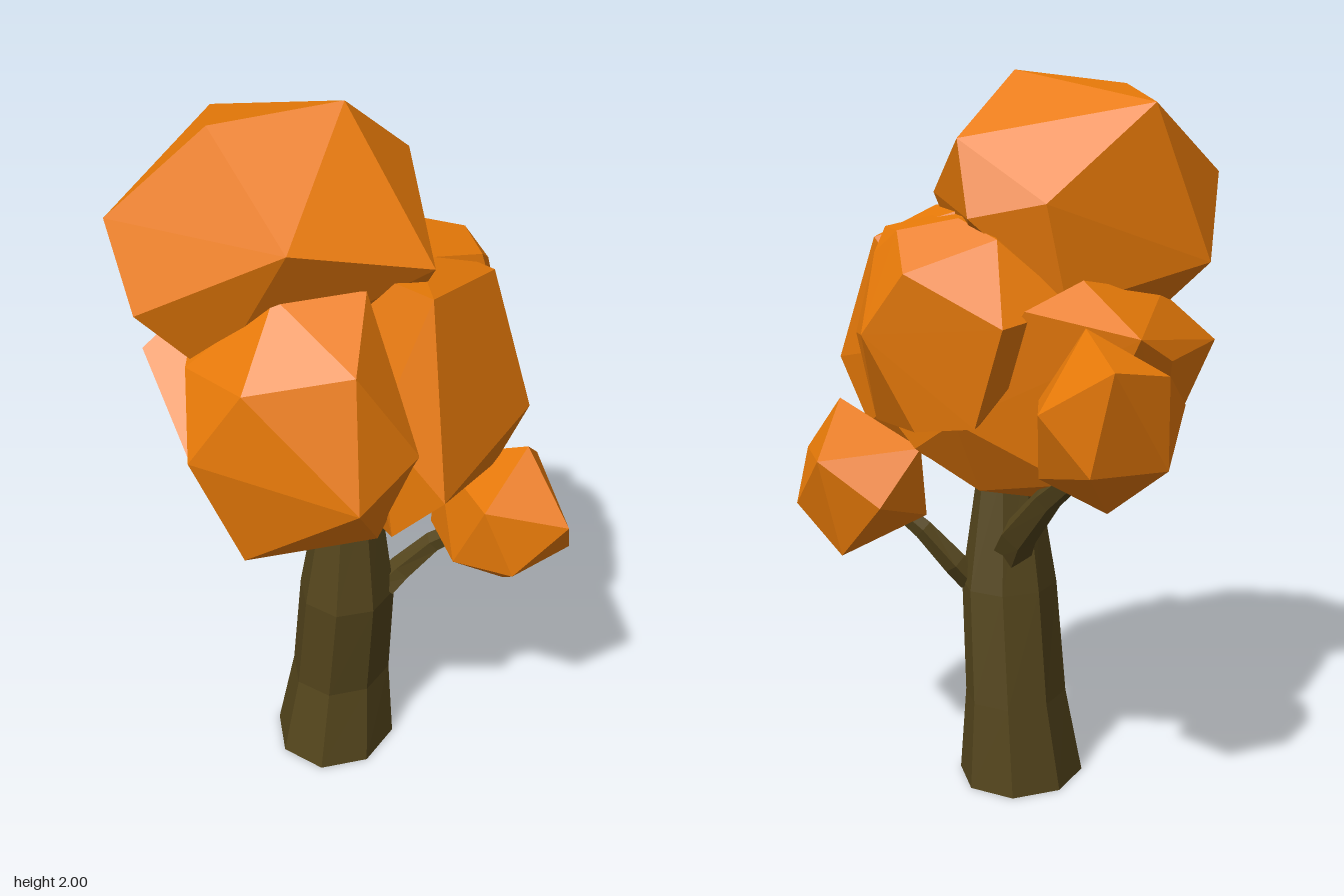
import * as THREE from 'three';
import { ConvexGeometry } from 'three/addons/geometries/ConvexGeometry.js';

const leaf = new THREE.MeshStandardMaterial({ color: 0xe87a08, flatShading: true });
const bark = new THREE.MeshStandardMaterial({ color: 0x54451c, flatShading: true });

// Faceted leaf clump: hull around a handful of corner points
function clump(name, corners) {
  const mesh = new THREE.Mesh(new ConvexGeometry(corners.map(c => new THREE.Vector3(...c))), leaf);
  mesh.name = name;
  return mesh;
}

// Tapered faceted limb through rings of [x, y, z, radiusX, radiusZ].
// Level rings are slightly skewed ovals; the others stand square to the path.
function limb(name, rings, sides, level) {
  const g = new THREE.CylinderGeometry(1, 1, 1, sides, rings.length - 1);
  const p = g.attributes.position;
  const centres = rings.map(r => new THREE.Vector3(r[0], r[1], r[2]));
  const up = new THREE.Vector3(0, 1, 0);
  for (let i = 0; i < p.count; i++) {
    const k = Math.round((p.getY(i) + 0.5) * (rings.length - 1));
    const [, , , rx, rz] = rings[k];
    const v = new THREE.Vector3(p.getX(i) * rx, 0, p.getZ(i) * rz);
    if (level) {
      v.set(v.x - 0.06 * v.z, 0, v.z - 0.06 * v.x);
    } else {
      const dir = centres[Math.min(k + 1, rings.length - 1)].clone().sub(centres[Math.max(k - 1, 0)]).normalize();
      v.applyQuaternion(new THREE.Quaternion().setFromUnitVectors(up, dir));
    }
    v.add(centres[k]);
    p.setXYZ(i, v.x, v.y, v.z);
  }
  g.computeVertexNormals();
  const mesh = new THREE.Mesh(g, bark);
  mesh.name = name;
  return mesh;
}

export function createModel() {
  const tree = new THREE.Group();
  tree.name = 'tree';

  // Trunk and branches
  tree.add(limb('trunk', [
    [0.025, 0, 0.065, 0.195, 0.185],
    [0.04, 0.25, 0.07, 0.16, 0.148],
    [0.03, 0.57, 0.11, 0.148, 0.143],
    [0.03, 0.92, 0.115, 0.09, 0.085],
    [0.03, 1.12, 0.115, 0.07, 0.07],
  ], 8, true));
  tree.add(limb('frontBranch', [
    [0.115, 0.58, 0.18, 0.042, 0.042],
    [0.16, 0.63, 0.195, 0.038, 0.038],
    [0.23, 0.73, 0.25, 0.03, 0.03],
    [0.33, 0.86, 0.38, 0.02, 0.02],
  ], 5, false));
  tree.add(limb('backBranch', [
    [0.07, 0.66, 0.06, 0.06, 0.06],
    [0.10, 0.75, -0.02, 0.052, 0.052],
    [0.13, 0.89, -0.18, 0.038, 0.038],
    [0.15, 1.0, -0.34, 0.028, 0.028],
    [0.16, 1.12, -0.42, 0.02, 0.02],
  ], 5, false));

  // Large clumps of the crown
  tree.add(clump('topClump', [
    [0.01, 2, 0.1], [-0.31, 1.97, 0], [-0.13, 1.91, -0.3], [0.26, 1.82, 0.03],
    [0.06, 1.67, 0.41], [-0.29, 1.75, 0.31], [-0.51, 1.73, -0.17], [-0.53, 1.54, 0],
    [0.18, 1.66, -0.23], [0.29, 1.62, -0.05], [-0.28, 1.5, -0.36], [0.12, 1.4, -0.24],
    [-0.36, 1.36, 0.08], [0.05, 1.35, 0.2], [-0.18, 1.32, -0.2],
  ]));
  tree.add(clump('frontClump', [
    [-0.03, 1.15, 0.6], [0.01, 1.63, 0.47], [0.34, 1.56, 0.3], [0.37, 1.22, 0.44],
    [0.32, 1.03, 0.38], [-0.08, 0.99, 0.46], [0.16, 0.91, 0.28], [-0.1, 1.3, 0.42],
    [-0.08, 1.65, 0.15], [0.2, 1.63, 0.12], [0.28, 1.3, 0.05], [0, 0.91, 0.24],
  ]));
  tree.add(clump('rightClump', [
    [-0.51, 1.22, 0.2], [-0.26, 1.18, 0.57], [-0.42, 1.43, 0.31], [-0.22, 1.5, 0.49],
    [-0.05, 1.25, 0.52], [-0.4, 0.93, 0.27], [-0.43, 1.4, 0.06], [-0.08, 0.95, 0.4],
    [-0.1, 0.88, 0.15], [-0.36, 1.02, 0.02], [-0.27, 1.61, 0.22], [-0.08, 1.62, 0.33],
    [-0.3, 1.48, -0.1],
  ]));
  tree.add(clump('leftClump', [
    [0.52, 1.33, 0.1], [0.47, 1.49, -0.02], [0.41, 1.59, 0.09], [0.33, 1.36, -0.24],
    [0.43, 1.08, 0], [0.38, 1.07, 0.25], [0.38, 1.3, 0.34], [0.33, 1.59, 0.26],
    [0.42, 1.53, 0.18], [0.35, 1.1, -0.15], [0.1, 1.64, 0.1], [0.05, 1.1, 0.1],
    [0.1, 1.4, -0.25], [0.15, 1.62, 0.25], [0.2, 1.04, 0.3], [0.25, 1.57, -0.12],
    [0.28, 1.62, 0],
  ]));
  tree.add(clump('coreClump', [
    [0.09, 1.34, -0.48], [-0.05, 1.27, -0.45], [-0.37, 1.28, -0.3], [0.26, 1.4, -0.24],
    [0.1, 1.47, -0.28], [-0.2, 1.42, -0.26], [-0.13, 0.82, 0.05], [-0.05, 0.82, 0],
    [-0.13, 1.0, -0.34], [0.15, 0.95, -0.29], [-0.38, 1.06, -0.05], [0.34, 1.1, -0.05],
    [0.22, 0.89, 0], [-0.2, 0.88, 0.1], [0.15, 0.92, 0.2], [0.31, 0.99, 0.17],
    [0.3, 1.04, 0.27], [-0.1, 0.92, 0.24],
  ]));

  // Small clumps on the branch ends
  tree.add(clump('backBranchClump', [
    [0.31, 1.3, -0.62], [0.37, 1.18, -0.42], [0.12, 1.04, -0.61], [0.12, 1.27, -0.61],
    [0.17, 0.91, -0.45], [-0.07, 1.16, -0.48], [0.2, 1.37, -0.4], [0.24, 1.18, -0.27],
    [0.3, 1.0, -0.34], [0.32, 1.04, -0.55], [0.02, 1.0, -0.33], [0.02, 1.28, -0.3],
  ]));
  tree.add(clump('frontBranchClump', [
    [0.37, 1.1, 0.45], [0.53, 0.96, 0.32], [0.38, 0.93, 0.62], [0.19, 0.98, 0.5],
    [0.46, 0.68, 0.32], [0.47, 0.79, 0.54], [0.31, 0.7, 0.46], [0.16, 0.79, 0.42],
    [0.27, 0.98, 0.2], [0.43, 0.84, 0.17], [0.24, 0.78, 0.22], [0.25, 0.79, 0.56],
  ]));
  return tree;
}
